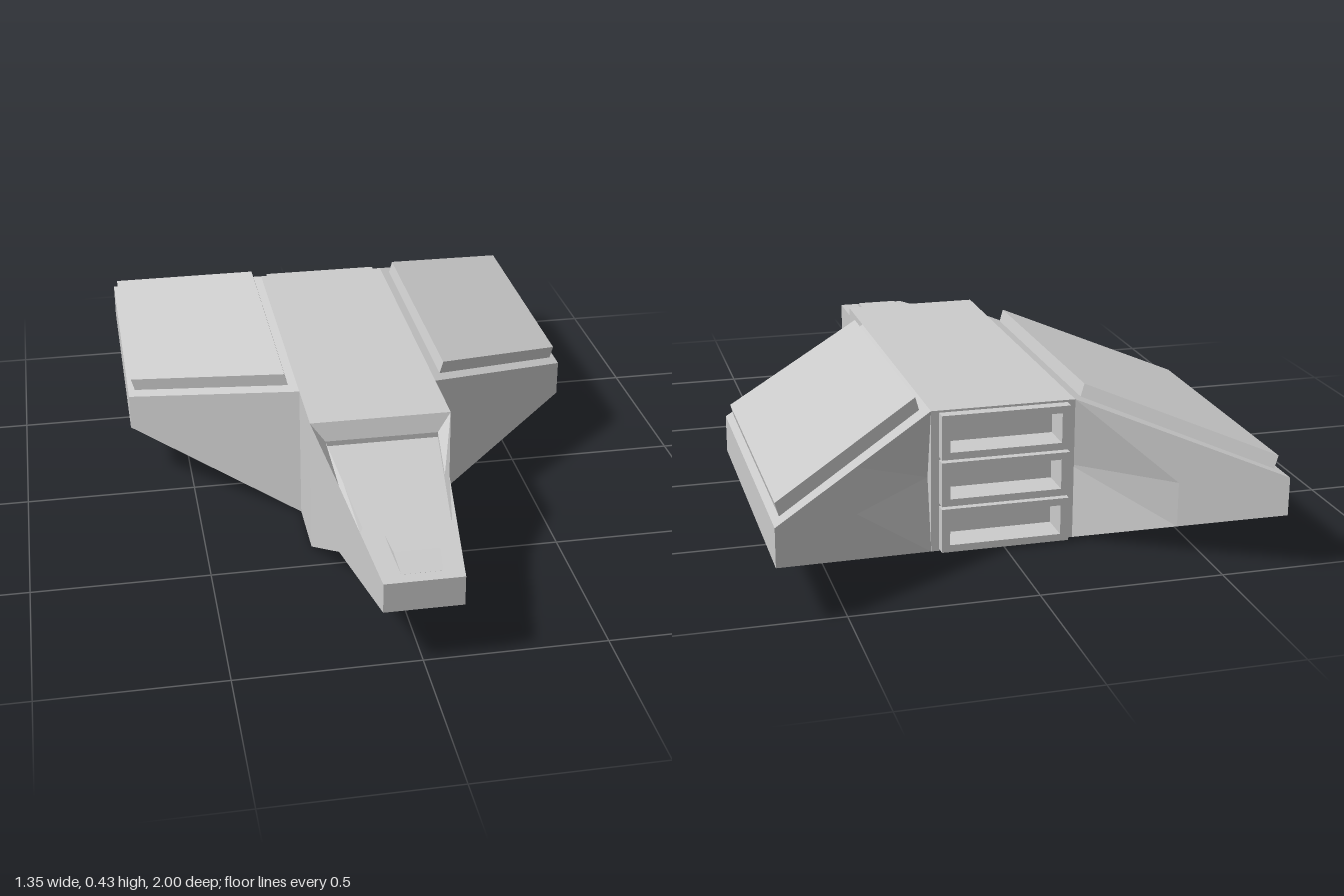
import * as THREE from 'three';

const mat = new THREE.MeshStandardMaterial({ color: 0xcccccc, flatShading: true });

const flip = ([x, y, z]) => [-x, y, z];
const mirrorFaces = (faces) => faces.map((f) => f.map(flip).reverse());

// Mesh from convex polygons, each split into a fan of triangles
function polyMesh(name, faces) {
  const pos = [];
  for (const f of faces)
    for (let i = 1; i < f.length - 1; i++) pos.push(...f[0], ...f[i], ...f[i + 1]);
  const geo = new THREE.BufferGeometry();
  geo.setAttribute('position', new THREE.Float32BufferAttribute(pos, 3));
  geo.computeVertexNormals();
  const mesh = new THREE.Mesh(geo, mat);
  mesh.name = name;
  return mesh;
}

// Faces of a closed loft through rings of equal point count
function loft(rings) {
  const faces = [[...rings[0]].reverse(), rings[rings.length - 1]];
  for (let r = 0; r < rings.length - 1; r++) {
    const a = rings[r], b = rings[r + 1];
    a.forEach((p, i) => {
      const j = (i + 1) % a.length;
      faces.push([p, a[j], b[j], b[i]]);
    });
  }
  return faces;
}

const rectRing = (w, y0, y1, z) => [[w, y0, z], [w, y1, z], [-w, y1, z], [-w, y0, z]];

function rect(Type, w, y0, y1) {
  return new Type([[-w, y0], [w, y0], [w, y1], [-w, y1]].map((p) => new THREE.Vector2(...p)));
}

// Plate with rectangular openings, rear side at z
function framePlate(name, outer, holes, z, depth) {
  const shape = rect(THREE.Shape, ...outer);
  for (const h of holes) shape.holes.push(rect(THREE.Path, ...h));
  const mesh = new THREE.Mesh(new THREE.ExtrudeGeometry(shape, { depth, bevelEnabled: false }), mat);
  mesh.position.z = z;
  mesh.name = name;
  return mesh;
}

// Tapered nose with a sunken canopy frame
function buildNose() {
  const group = new THREE.Group();
  group.name = 'nose';
  const o = [[0.2, 0.4, 0.4], [0.153, 0.31, 0.6], [0.13, 0.277, 0.8], [0.107, 0.245, 1]];
  const b = [[0.2, 0, 0.4], [0.153, 0.1, 0.6], [0.13, 0.13, 0.8], [0.107, 0.16, 1]];
  const rim = [[0.16, 0.35, 0.42], [0.14, 0.315, 0.6], [0.12, 0.28, 0.78]];
  const floor = rim.map(([x, y, z]) => [x, y - 0.015, z]);

  // Faces lying on one side, mirrored to the other
  const side = [
    [o[0], rim[0], rim[1], o[1]],
    [o[1], rim[1], rim[2], o[2]],
    [rim[0], floor[0], floor[2], rim[2]],
  ];
  for (let i = 0; i < 3; i++) side.push([o[i], o[i + 1], b[i + 1], b[i]]);

  // Faces spanning the full width
  const across = (p, q) => [p, flip(p), flip(q), q];
  const middle = [
    across(o[0], rim[0]), across(rim[2], o[2]), across(o[2], o[3]), across(o[3], b[3]),
    across(rim[0], floor[0]), across(floor[2], rim[2]),
  ];
  for (let i = 0; i < 3; i++) middle.push(across(b[i + 1], b[i]));

  group.add(polyMesh('noseHull', [...side, ...mirrorFaces(side), ...middle]));
  group.add(polyMesh('canopy', [across(floor[0], floor[2])]));
  group.add(polyMesh('noseHatch', loft([
    rectRing(0.068, 0.2, 0.275, 0.82),
    rectRing(0.062, 0.2, 0.275, 0.9),
    rectRing(0.055, 0.2, 0.25, 0.97),
  ])));
  return group;
}

export function createModel() {
  const model = new THREE.Group();
  model.name = 'spacecraft';

  // Fuselage and nose
  model.add(polyMesh('fuselage', loft([rectRing(0.2, 0, 0.4, -0.6), rectRing(0.2, 0, 0.4, 0.4)])));
  model.add(buildNose());

  // Three stacked engine outlets at the tail
  const outlets = [0.068, 0.2, 0.332];
  const holes = outlets.map((y) => [0.155, y - 0.042, y + 0.042]);
  model.add(framePlate('engineBlock', [0.2, 0, 0.4], holes, -0.66, 0.06));
  outlets.forEach((y, i) =>
    model.add(framePlate('engineFrame', [0.178, y - 0.062, y + 0.062], [holes[i]], -0.69, 0.03)));

  // Wing: root, middle and tip sections, the trailing face dented at the root
  const wingRing = (t, dent) => {
    const x = 0.2 + 0.475 * t;
    const lo = 0.15 * t, hi = 0.4 - 0.145 * t;
    const back = -0.66 - 0.34 * t, front = 0.2 - 0.34 * t;
    return [[x, lo, back], [x, 0.2, back + dent], [x, hi, back], [x, hi, front], [x, lo, front]];
  };
  const wing = loft([wingRing(0, 0.04), wingRing(0.5, 0), wingRing(1, 0)]);

  // Raised panel following the slope of the wing top
  const panelRing = (x, y, back, front) => [
    [x - 0.01, y - 0.036, back], [x, y, back], [x, y, front], [x - 0.01, y - 0.036, front],
  ];
  const panel = loft([panelRing(0.235, 0.432, -0.63, 0.145), panelRing(0.665, 0.298, -0.945, -0.17)]);

  model.add(polyMesh('leftWing', wing), polyMesh('rightWing', mirrorFaces(wing)));
  model.add(polyMesh('leftWingPanel', panel), polyMesh('rightWingPanel', mirrorFaces(panel)));
  return model;
}
